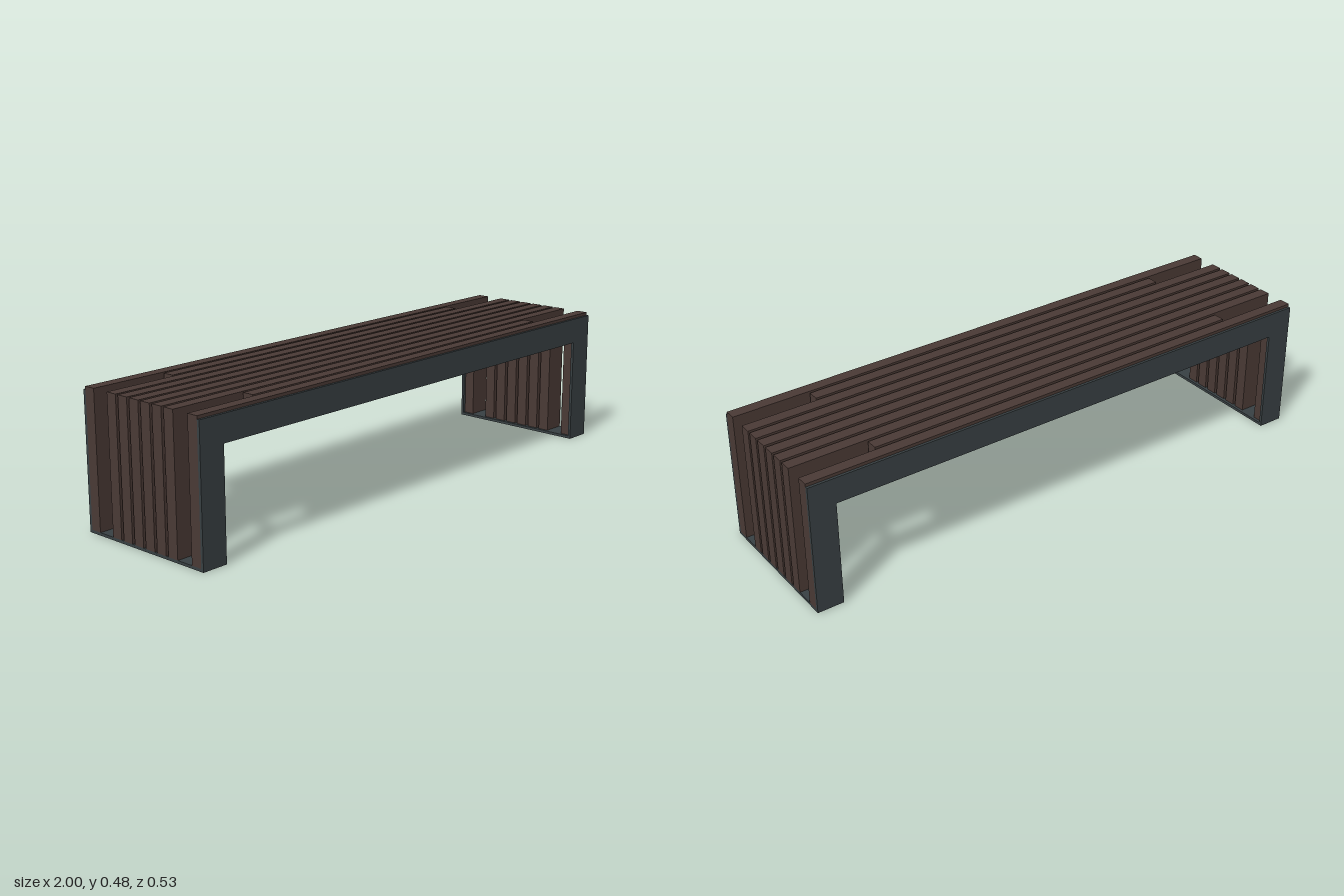
import * as THREE from 'three';

export function createModel() {
  const bench = new THREE.Group();
  bench.name = 'slattedBench';
  const steel = new THREE.MeshStandardMaterial({ color: 0x384043 });
  const wood = new THREE.MeshStandardMaterial({ color: 0x4a3a35 });

  // Box given by its min and max corners
  function box(name, material, [x0, y0, z0], [x1, y1, z1]) {
    const mesh = new THREE.Mesh(new THREE.BoxGeometry(x1 - x0, y1 - y0, z1 - z0), material);
    mesh.position.set((x0 + x1) / 2, (y0 + y1) / 2, (z0 + z1) / 2);
    mesh.name = name;
    bench.add(mesh);
  }

  // Steel side plates: an upside-down U, front and back
  const legInner = 0.905, beamBottom = 0.38, frameTop = 0.472, plate = 0.01, half = 0.267;
  const outline = new THREE.Shape([
    [-1, 0], [-legInner, 0], [-legInner, beamBottom], [legInner, beamBottom],
    [legInner, 0], [1, 0], [1, frameTop], [-1, frameTop],
  ].map(([x, y]) => new THREE.Vector2(x, y)));
  const sideGeometry = new THREE.ExtrudeGeometry(outline, { depth: plate, bevelEnabled: false });
  for (const [name, z] of [['frontFrame', half - plate], ['backFrame', -half]]) {
    const side = new THREE.Mesh(sideGeometry, steel);
    side.position.z = z;
    side.name = name;
    bench.add(side);
  }

  // Foot plates and cross bars joining the two sides
  const inside = half - plate;
  for (const s of [-1, 1]) {
    const mid = s * (1 + legInner) / 2, w = (1 - legInner) / 2;
    box('footPlate', steel, [mid - w, 0, -inside], [mid + w, plate, inside]);
    for (const x of [0.32, 0.91]) {
      box('crossBar', steel, [s * x - 0.005, beamBottom, -inside], [s * x + 0.005, 0.43, inside]);
    }
  }

  // Wooden slats; the second from each edge is short and has no legs
  const count = 10, pitch = 0.0527, slat = 0.0415, slatBottom = 0.398, slatTop = 0.483;
  for (let i = 0; i < count; i++) {
    const z = (i - (count - 1) / 2) * pitch;
    const z0 = z - slat / 2, z1 = z + slat / 2;
    const short = i === 1 || i === count - 2;
    const length = short ? 0.725 : 1;
    box('seatSlat', wood, [-length, slatBottom, z0], [length, slatTop, z1]);
    if (short) continue;
    box('rightLegSlat', wood, [-1, plate, z0], [-0.916, slatBottom, z1]);
    box('leftLegSlat', wood, [0.916, plate, z0], [1, slatBottom, z1]);
  }
  return bench;
}
